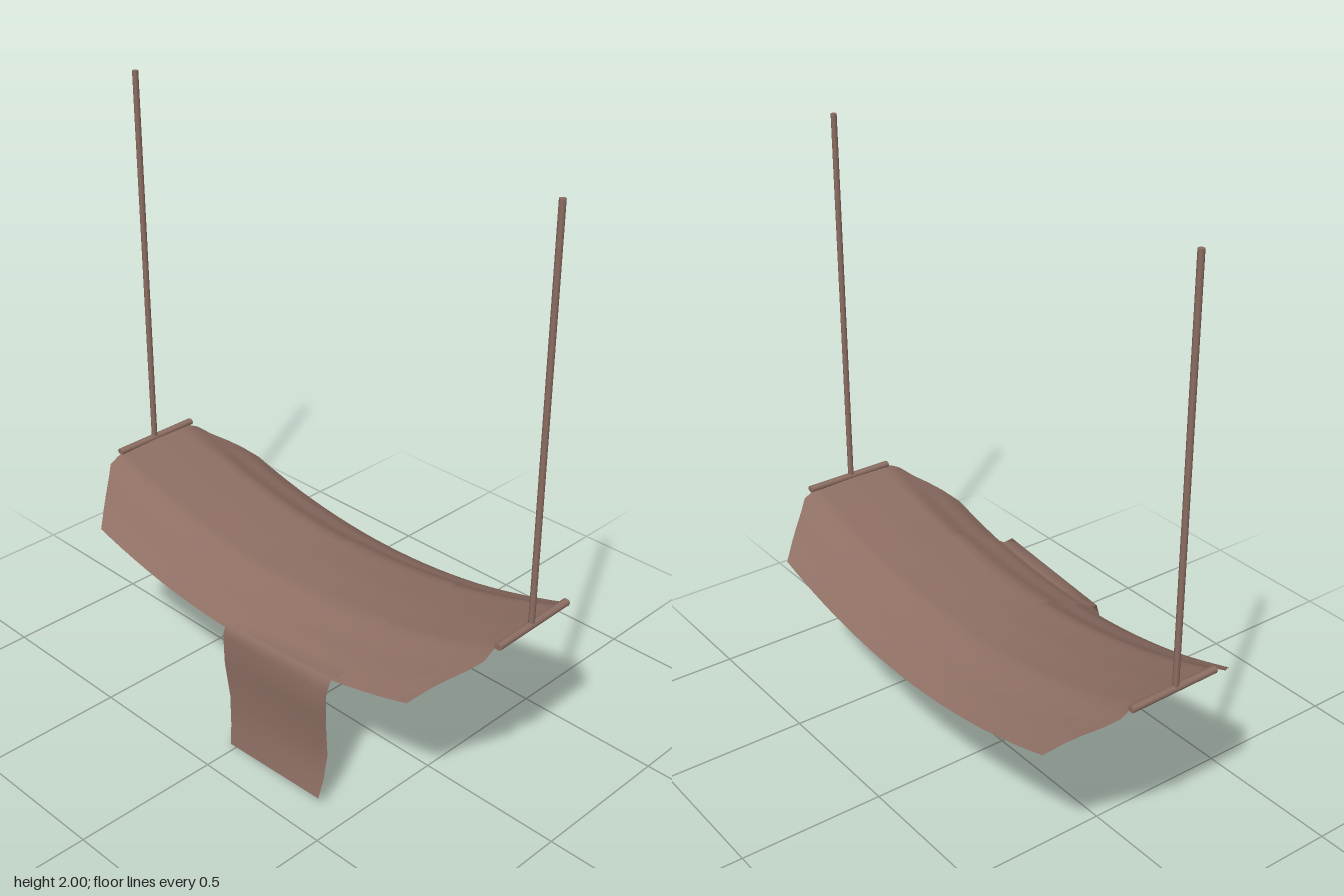
import * as THREE from 'three';

// Piecewise-linear lookup in a list of [in, out] pairs
function lookup(pairs, t) {
  for (let i = 1; i < pairs.length; i++) {
    const [a, va] = pairs[i - 1], [b, vb] = pairs[i];
    if (t <= b) return va + (vb - va) * Math.max(0, (t - a) / (b - a));
  }
  return pairs[pairs.length - 1][1];
}

// Cloth shape: sags along x, droops at both long edges, slightly skewed
const DROP = [[0, 0], [0.16, 0.006], [0.24, 0.05], [0.3, 0.07], [0.37, 0.118]];
const midZ = (x) => -0.025 - 0.018 * x;
const clothY = (x, z) => 0.535 + 0.225 * x * x - lookup(DROP, Math.abs(z - midZ(x)));

// Smooth open sheet from a rule (u, v) -> [x, y, z]; u runs along +x, v along +z
function sheet(nu, nv, rule) {
  const pos = [], index = [];
  for (let j = 0; j <= nv; j++) {
    for (let i = 0; i <= nu; i++) pos.push(...rule(i / nu, j / nv));
  }
  for (let j = 0; j < nv; j++) {
    for (let i = 0; i < nu; i++) {
      const a = j * (nu + 1) + i, b = a + 1, c = a + nu + 1, d = c + 1;
      index.push(a, c, b, b, c, d);
    }
  }
  const g = new THREE.BufferGeometry();
  g.setAttribute('position', new THREE.Float32BufferAttribute(pos, 3));
  g.setIndex(index);
  g.computeVertexNormals();
  return g;
}

export function createModel() {
  const model = new THREE.Group();
  const brown = new THREE.MeshStandardMaterial({ color: 0x8d6e63, side: THREE.DoubleSide });
  brown.name = 'brown cloth and wood';
  const add = (name, geometry, parent = model) => {
    const mesh = new THREE.Mesh(geometry, brown);
    mesh.name = name;
    parent.add(mesh);
    return mesh;
  };

  // Hanging cloth with cut corners
  const stations = [-0.83, -0.8, -0.765, -0.73, -0.69];
  for (let i = 1; i < 24; i++) stations.push(-0.69 + (1.38 * i) / 24);
  stations.push(0.69, 0.73, 0.765, 0.8, 0.83);
  const n = stations.length - 1;
  add('slingCloth', sheet(n, 28, (u, v) => {
    const x = stations[Math.round(u * n)];
    const half = lookup([[0, 0.364], [0.69, 0.364], [0.83, 0.2]], Math.abs(x));
    const z = midZ(x) + (v * 2 - 1) * half;
    return [x, clothY(x, z), z];
  }));

  // Blanket: lies on the cloth, then hangs over its front edge
  // Hanging rows: [left x, right x, left y, right y, left z, right z]
  const hang = [
    [-0.062, 0.418, 0.445, 0.485, 0.352, 0.36],
    [-0.063, 0.416, 0.41, 0.44, 0.362, 0.378],
    [-0.062, 0.412, 0.3, 0.34, 0.36, 0.376],
    [-0.045, 0.408, 0.18, 0.2, 0.356, 0.364],
    [-0.035, 0.405, 0.08, 0.11, 0.364, 0.378],
    [-0.025, 0.4, 0.005, 0.045, 0.376, 0.396],
  ];
  const flatRows = 20, rows = flatRows + hang.length;
  add('blanket', sheet(12, rows, (u, v) => {
    const row = Math.round(v * rows);
    if (row <= flatRows) {
      const t = row / flatRows;
      const x = THREE.MathUtils.lerp(-0.054 - 0.008 * t, 0.42, u);
      const z = THREE.MathUtils.lerp(-0.268 + 0.022 * u, 0.325, t);
      return [x, clothY(x, z) + 0.006 + 0.008 * t, z];
    }
    const [xl, xr, yl, yr, zl, zr] = hang[row - flatRows - 1];
    const mix = THREE.MathUtils.lerp;
    return [mix(xl, xr, u), mix(yl, yr, u), mix(zl, zr, u)];
  }));

  // End bars and the upright poles that carry them
  for (const [side, x, z, top] of [['right', -0.838, -0.022, 2], ['left', 0.834, -0.052, 1.99]]) {
    const end = new THREE.Group();
    end.name = side + 'Support';
    model.add(end);
    const bar = add(side + 'Bar', new THREE.CylinderGeometry(0.011, 0.011, 0.325, 8).rotateX(Math.PI / 2), end);
    bar.position.set(x, 0.69, z);
    bar.scale.x = 1.25;
    bar.rotation.y = 0.018;
    const pole = add(side + 'Pole', new THREE.CylinderGeometry(0.01, 0.01, top - 0.69, 8), end);
    pole.position.set(x, (top + 0.69) / 2, z + 0.007);
  }
  return model;
}
